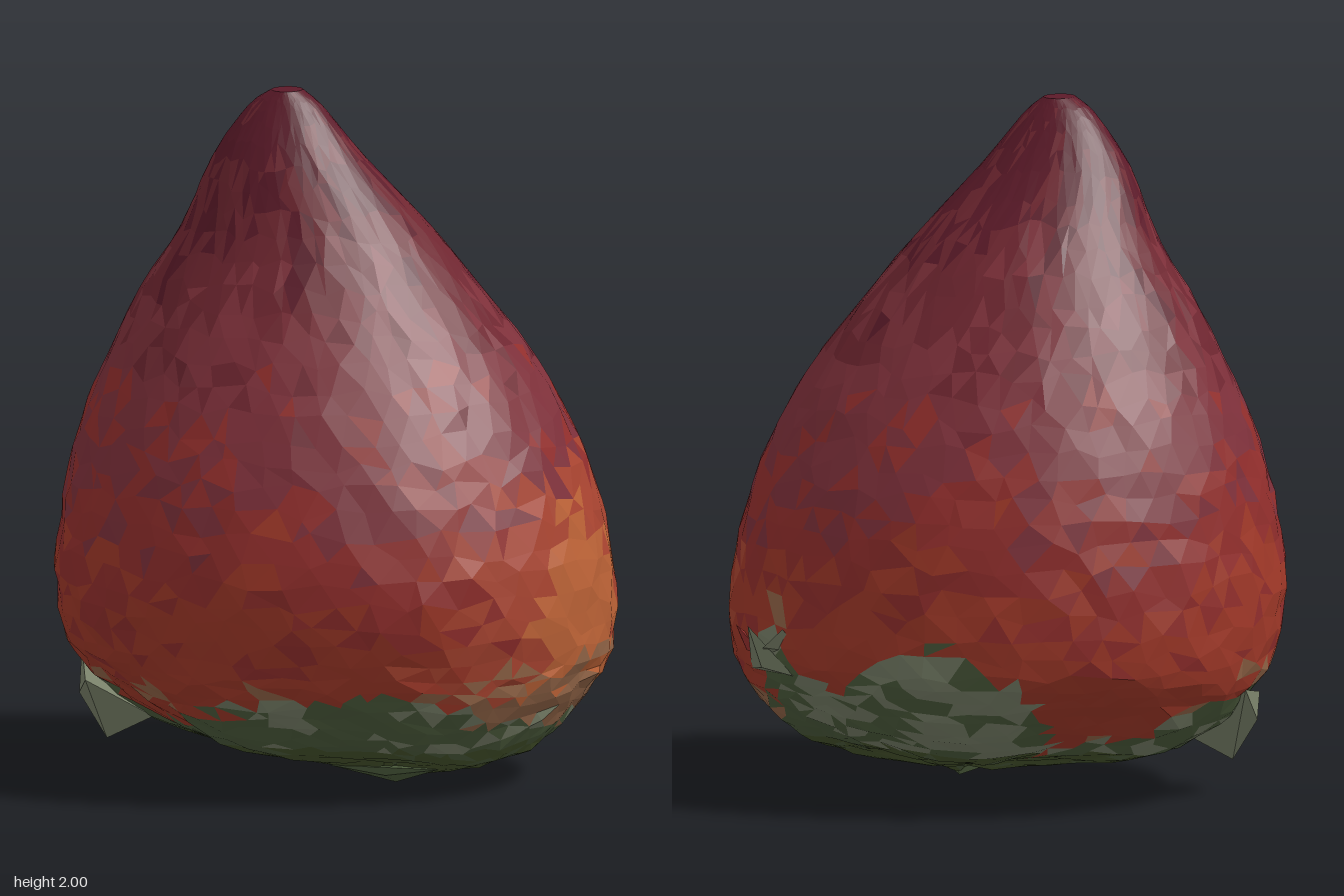
import * as THREE from 'three';

// slices of the fruit: y, xMin, xMax, zMin, zMax
const SLICES = [
  [2.0, -0.16, -0.07, 0.05, 0.15], [1.95, -0.23, -0.01, 0.01, 0.18], [1.8, -0.34, 0.11, -0.1, 0.26],
  [1.6, -0.44, 0.28, -0.28, 0.34], [1.4, -0.57, 0.44, -0.43, 0.45], [1.2, -0.67, 0.59, -0.56, 0.56],
  [1.0, -0.75, 0.70, -0.66, 0.66], [0.8, -0.79, 0.77, -0.73, 0.73], [0.6, -0.815, 0.81, -0.75, 0.755],
  [0.42, -0.8, 0.81, -0.74, 0.71], [0.3, -0.75, 0.78, -0.66, 0.665], [0.19, -0.64, 0.715, -0.53, 0.57],
  [0.1, -0.44, 0.64, -0.3, 0.43], [0.055, -0.12, 0.53, -0.1, 0.26], [0.02, 0.1, 0.3, 0.04, 0.18],
];
// upper edge of the leafy cap around the fruit: angle in degrees from +x towards +z, height
const CAP_EDGE = [
  [0, 0.2], [35, 0.22], [60, 0.35], [85, 0.28], [115, 0.25], [145, 0.18], [168, 0.34], [190, 0.3],
  [222, 0.1], [240, 0.4], [258, 0.54], [275, 0.46], [288, 0.32], [305, 0.52], [320, 0.28], [340, 0.18], [360, 0.2],
];
const COLORS = {
  fruitTip: 0x5c1a29, fleshDark: 0x6f2630, fleshMid: 0x7e303a, fleshRed: 0x922e2c,
  fleshBright: 0xa03828, shoulderRed: 0xaa4430, shoulderOrange: 0xbc6236, shoulderTan: 0x946648,
  sepalPale: 0x788068, sepalGreen: 0x4c5c3c, capUnderside: 0x46542c,
};

// repeatable value in -1..1 for a few numbers
function noise(i, j, k) {
  const s = Math.sin(i * 127.1 + j * 311.7 + k * 74.7) * 43758.5453;
  return (s - Math.floor(s)) * 2 - 1;
}

function capHeight(deg) {
  const n = CAP_EDGE.findIndex((e) => e[0] >= deg);
  if (n <= 0) return CAP_EDGE[0][1];
  const [a, b] = [CAP_EDGE[n - 1], CAP_EDGE[n]];
  return a[1] + ((b[1] - a[1]) * (deg - a[0])) / (b[0] - a[0]);
}

// which part a facet belongs to, from its centre and a random tint
function partAt(c, r) {
  const deg = (Math.atan2(c.z, c.x) * 180 / Math.PI + 360) % 360;
  const edge = capHeight(deg) + r * 0.05;
  if (c.y < edge) {
    if (c.y < 0.14) return r > 0.45 ? 'sepalGreen' : 'capUnderside';
    return r > 0.35 || (deg > 235 && deg < 310 && r > -0.2) ? 'sepalPale' : 'sepalGreen';
  }
  // warm patch on the side that ripened last
  const warm = Math.hypot(c.z - 0.08, c.y - 0.52) + r * 0.16;
  if (c.x > 0.3 && c.y < 0.36 + r * 0.1 && warm < 0.5) return 'shoulderTan';
  if (c.x > 0.3 && warm < 0.24) return 'shoulderOrange';
  if (c.x > 0.3 && warm < 0.42) return 'shoulderRed';
  if (c.y < edge + 0.06 && r > 0.3) return 'shoulderTan';
  const y = c.y + r * 0.38;
  if (y > 1.7) return 'fruitTip';
  if (y > 1.35) return 'fleshDark';
  if (y > 0.95) return 'fleshMid';
  return y > 0.6 ? 'fleshRed' : 'fleshBright';
}

function facetMesh(name, positions, color) {
  const g = new THREE.BufferGeometry();
  g.setAttribute('position', new THREE.Float32BufferAttribute(positions, 3));
  g.computeVertexNormals();
  const mesh = new THREE.Mesh(g, new THREE.MeshStandardMaterial({
    color, flatShading: true, side: THREE.DoubleSide,
  }));
  mesh.name = name;
  return mesh;
}

// hollow between leaves: 1 at the given angle, fading to 0 at the given width
function hollow(a, deg, width) {
  const d = Math.abs(a * 180 / Math.PI - deg) / width;
  return d < 1 ? 0.5 + 0.5 * Math.cos(d * Math.PI) : 0;
}

// faceted fruit skin and cap, sorted into one mesh per colour
function buildFruit() {
  const SEG = 54, ROWS = 42;
  const curve = (a, b) => new THREE.CatmullRomCurve3(
    SLICES.map((s) => new THREE.Vector3(s[a], s[b], s[0])), false, 'catmullrom', 0.5);
  const xs = curve(1, 2), zs = curve(3, 4);
  const point = (i, j) => {
    j %= SEG;
    const inner = i > 0 && i < ROWS;
    const t = (i + (inner ? 0.3 * noise(i, j, 1) : 0)) / ROWS;
    const a = ((j + (i % 2) * 0.5 + 0.3 * noise(i, j, 2)) / SEG) * Math.PI * 2;
    const X = xs.getPoint(t), Z = zs.getPoint(t);
    // low on the fruit the surface is rougher and dips between the leaves
    const low = 1 - THREE.MathUtils.smoothstep(X.z, 0.2, 0.45);
    const rough = 0.007 + 0.01 * low;
    const dip = low * (0.08 * hollow(a, 135, 40) + 0.1 * hollow(a, 228, 25));
    const s = 1 - 0.5 * rough - dip + rough * noise(i, j, 3);
    // shallow leaf folds run across the underside
    const fold = low * (0.02 + 0.012 * Math.sin(a * 5 + 1) + 0.006 * noise(i, j, 4));
    return new THREE.Vector3(
      (X.x + X.y) / 2 + Math.cos(a) * s * (X.y - X.x) / 2,
      X.z + fold,
      (Z.x + Z.y) / 2 + Math.sin(a) * s * (Z.y - Z.x) / 2);
  };
  const parts = {};
  const add = (p, q, r, seed) => {
    const c = p.clone().add(q).add(r).divideScalar(3);
    const key = partAt(c, seed);
    (parts[key] ??= []).push(...p.toArray(), ...q.toArray(), ...r.toArray());
  };
  const top = new THREE.Vector3(-0.11, 2, 0.1), bottom = new THREE.Vector3(0.21, 0.03, 0.12);
  for (let j = 0; j < SEG; j++) {
    add(top, point(0, j + 1), point(0, j), 0);
    add(bottom, point(ROWS, j), point(ROWS, j + 1), 0);
    for (let i = 0; i < ROWS; i++) {
      const a = point(i, j), b = point(i, j + 1), c = point(i + 1, j), d = point(i + 1, j + 1);
      // neighbouring facets share a tint in small patches, with some single odd ones
      const patch = 0.5 * noise(i >> 1, j >> 1, 5);
      const s1 = patch + 0.5 * noise(i, j, 6), s2 = patch + 0.5 * noise(i, j, 7);
      if (i % 2) { add(a, b, d, s1); add(a, d, c, s2); }
      else { add(a, b, c, s1); add(b, d, c, s2); }
    }
  }
  const group = new THREE.Group();
  group.name = 'fruit';
  for (const [name, pos] of Object.entries(parts)) group.add(facetMesh(name, pos, COLORS[name]));
  return group;
}

// loose leaf tip: a solid blade from a base line (l, r) to a point, with an outer and an inner ridge
function leafTip(name, l, r, tip, outer, inner, color) {
  const side = (m) => [...l, ...m, ...tip, ...m, ...r, ...tip, ...l, ...r, ...m];
  return facetMesh(name, [...side(outer), ...side(inner)], color);
}

export function createModel() {
  const model = new THREE.Group();
  model.name = 'strawberry';
  model.add(buildFruit());

  const { sepalPale, sepalGreen, fleshRed } = COLORS;
  const tips = new THREE.Group();
  tips.name = 'looseLeafTips';
  tips.add(
    leafTip('sideLeafTip', [-0.76, 0.33, 0.02], [-0.66, 0.28, 0.3], [-0.63, 0.095, 0.19], [-0.72, 0.22, 0.17], [-0.5, 0.16, 0.16], sepalPale),
    leafTip('backLeafTip', [0.36, 0.38, -0.64], [0.57, 0.37, -0.5], [0.5, 0.52, -0.66], [0.46, 0.4, -0.65], [0.45, 0.42, -0.58], sepalPale),
    leafTip('backLeafCurl', [0.33, 0.45, -0.64], [0.5, 0.4, -0.56], [0.38, 0.52, -0.675], [0.45, 0.46, -0.66], [0.4, 0.44, -0.6], sepalPale),
    leafTip('backSkinFlap', [0.5, 0.42, -0.56], [0.6, 0.42, -0.48], [0.6, 0.5, -0.54], [0.56, 0.43, -0.55], [0.54, 0.44, -0.5], fleshRed),
    leafTip('frontLeafTip', [0.06, 0.06, 0.24], [0.38, 0.06, 0.22], [0.22, 0, 0.12], [0.22, 0.035, 0.22], [0.22, 0.06, 0.1], sepalGreen),
  );
  model.add(tips);
  return model;
}
